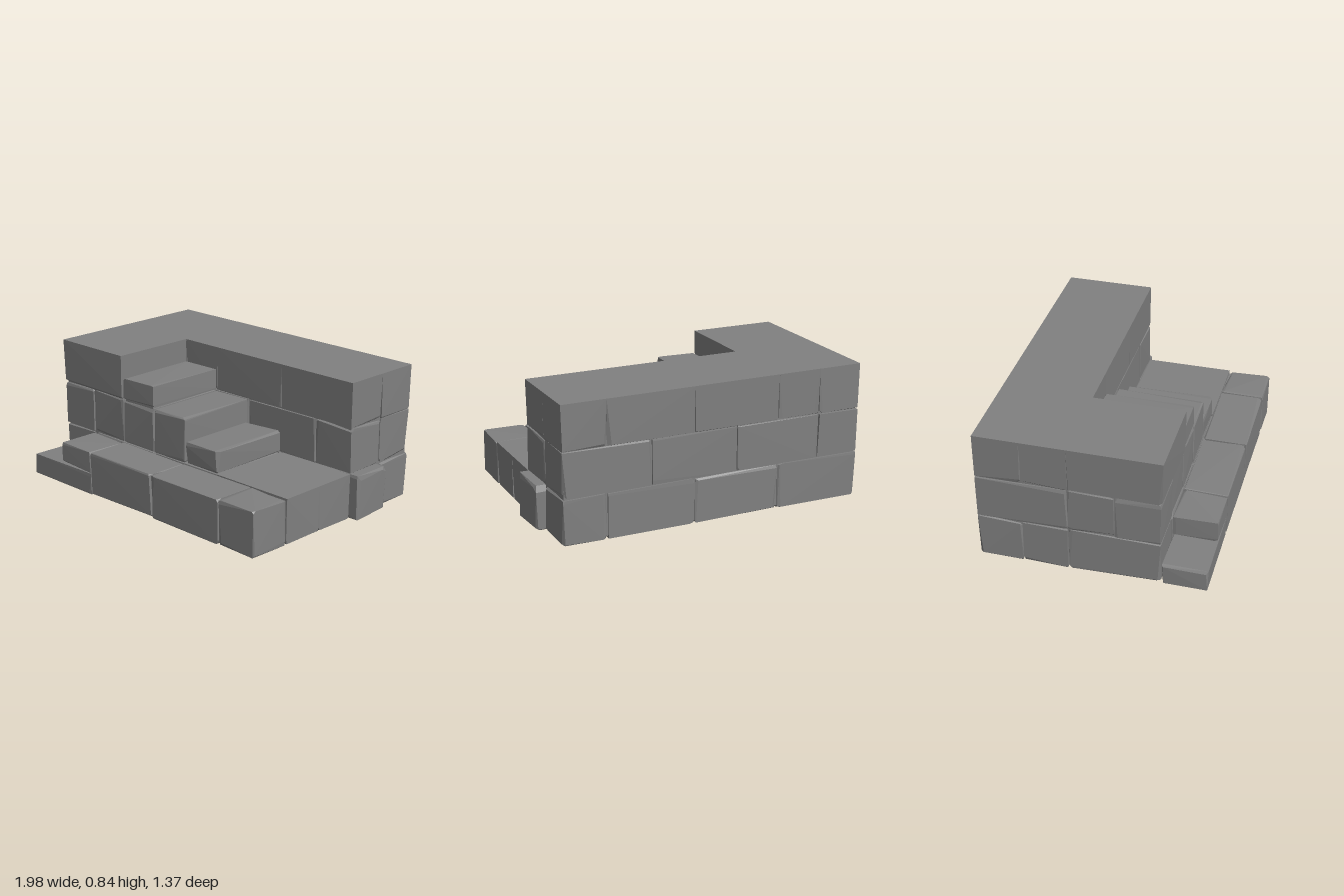
import * as THREE from 'three';
import { ConvexGeometry } from 'three/addons/geometries/ConvexGeometry.js';

// Seeded random numbers keep the wear on the stones repeatable
let seed = 11;
const rand = () => {
  seed = (seed * 16807) % 2147483647;
  return seed / 2147483647;
};

// Stones sit on a grid: 7 cells wide, 3 high, 5 deep
const CELL = 0.2745, ROW = 0.2785, TOP = 3 * ROW;
const gx = i => -0.99 + i * CELL;
const gy = j => j * ROW;
const gz = k => -0.686 + k * CELL;

const material = new THREE.MeshStandardMaterial({ color: 0x808080, flatShading: true });

// Worn stone: a box with uneven chamfers; a flush stone has a seamless upper face
function stoneGeometry(lo, hi, flush, wear) {
  const points = [];
  for (let c = 0; c < 8; c++) {
    const side = [c & 1, (c >> 1) & 1, (c >> 2) & 1];
    for (let axis = 0; axis < 3; axis++) {
      const p = side.map((s, a) => {
        const edge = s ? hi[a] : lo[a];
        const chamfer = (0.003 + 0.028 * rand() ** 2) * wear;
        let inset = a === axis ? rand() * 0.008 : chamfer;
        if (a === 1 && axis === 1 && (edge < 0.001 || flush)) inset = 0;
        if (flush && side[1] && axis === 1) inset = 0;
        return edge + (s ? -inset : inset);
      });
      points.push(new THREE.Vector3(...p));
    }
  }
  return new ConvexGeometry(points);
}

// Adds a stone spanning grid cells; bulge pushes its right end outwards
function stone(group, name, [i0, i1, j0, j1, k0, k1], { flush = false, bulge = 0, wear = 1 } = {}) {
  const lo = [gx(i0), gy(j0), gz(k0)];
  const hi = [gx(i1) + bulge, gy(j1), gz(k1)];
  const mesh = new THREE.Mesh(stoneGeometry(lo, hi, flush, wear), material);
  mesh.name = name;
  group.add(mesh);
}

// Inner mass that closes the joints between the stones
function core(group, i0, i1, j0, j1, k0, k1) {
  const d = 0.014;
  const size = [gx(i1) - gx(i0) - 2 * d, gy(j1) - gy(j0) - 2 * d, gz(k1) - gz(k0) - 2 * d];
  const mesh = new THREE.Mesh(new THREE.BoxGeometry(...size), material);
  mesh.position.set((gx(i0) + gx(i1)) / 2, (gy(j0) + gy(j1)) / 2, (gz(k0) + gz(k1)) / 2);
  mesh.name = 'innerCore';
  group.add(mesh);
}

export function createModel() {
  seed = 11;
  const model = new THREE.Group();
  model.name = 'stoneStairs';
  const part = name => {
    const g = new THREE.Group();
    g.name = name;
    model.add(g);
    return g;
  };

  // Base course: each entry is [i0, i1, k0, k1]
  const base = part('baseCourse');
  [
    [2, 4, 4, 5], [4, 6, 4, 5], [6, 7, 4, 5], [6, 7, 0, 1],
    [0, 2, 0, 1], [2, 4, 0, 1], [4, 6, 0, 1],
    [0, 1, 1, 2], [0, 1, 2, 4],
    [1, 3, 1, 2], [3, 5, 1, 2], [1, 2, 2, 3], [2, 4, 2, 3], [4, 5, 2, 3],
    [1, 3, 3, 4], [3, 5, 3, 4],
  ].forEach(([i0, i1, k0, k1]) => stone(base, 'baseStone', [i0, i1, 0, 1, k0, k1]));

  // Landing beside the steps, and the stone jutting out of the right end
  stone(base, 'landingStone', [5, 7, 0, 1, 3, 4], { flush: true });
  stone(base, 'landingStone', [5, 7, 0, 1, 2, 3], { flush: true });
  stone(base, 'juttingStone', [5, 7, 0, 1, 1, 2], { bulge: 0.06, wear: 1.6 });
  core(base, 0, 7, 0, 1, 0, 4);
  core(base, 2, 7, 0, 1, 3.5, 5);

  // Low ledge with a half stone beside it
  stone(base, 'lowLedge', [0, 2, 0, 0.5, 4, 5]);
  stone(base, 'halfStone', [1, 2, 0.5, 1, 4, 5]);

  // Middle course
  const middle = part('middleCourse');
  [
    [0, 1, 3, 4], [1, 2, 3, 4], [0, 2, 2, 3], [0, 1, 0, 2],
    [1, 3, 0, 1], [3, 5, 0, 1], [5, 7, 0, 1],
    [1, 2, 1, 2], [2, 4, 1, 2], [4, 6, 1, 2], [6, 7, 1, 2],
  ].forEach(([i0, i1, k0, k1]) => stone(middle, 'middleStone', [i0, i1, 1, 2, k0, k1]));

  // Top course with a flush deck
  const top = part('topCourse');
  [
    [0, 2, 2, 4.03], [0, 2, 1, 2], [2, 3, 1, 2], [3, 5, 1, 2], [5, 7, 1, 2],
    [0, 1, 0, 1], [1, 2, 0, 1], [2, 4, 0, 1], [4, 6, 0, 1], [6, 7, 0, 1],
  ].forEach(([i0, i1, k0, k1]) => stone(top, 'topStone', [i0, i1, 2, 3, k0, k1], { flush: true }));
  core(top, 0, 7, 0.9, 3, 0, 2);
  core(top, 0, 2, 0.9, 3, 1, 4);

  // Three steps descending to the right
  const steps = part('steps');
  stone(steps, 'upperStepBase', [2, 3, 1, 2, 2, 4]);
  stone(steps, 'upperStep', [2, 3, 2, 2.5, 2, 4]);
  stone(steps, 'middleStep', [3, 4, 1, 2, 2, 4]);
  stone(steps, 'lowerStep', [4, 5, 1, 1.5, 2, 4]);
  core(steps, 2, 3, 0.9, 2.5, 1.8, 4);
  return model;
}
